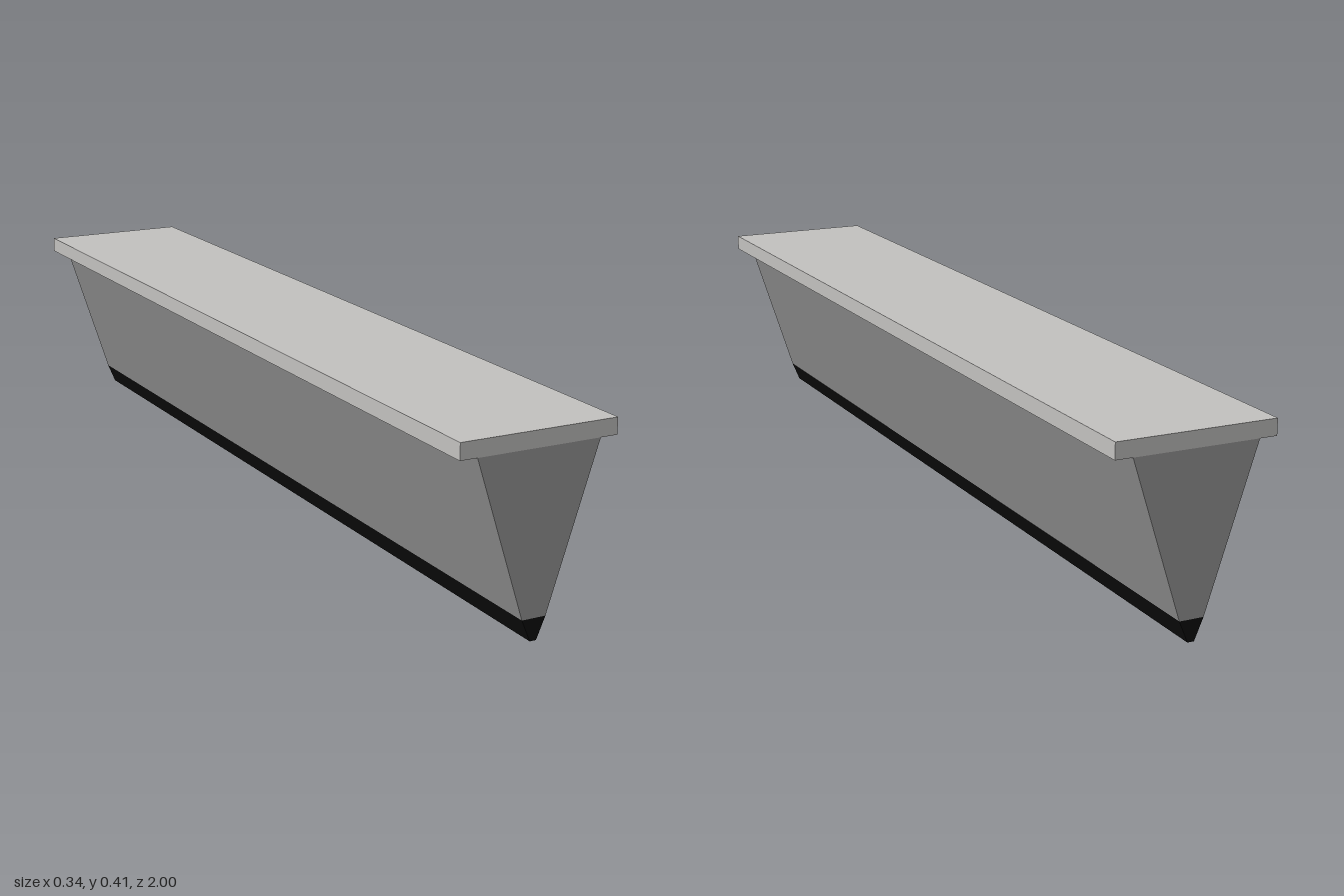
import * as THREE from 'three';

const LENGTH = 2;

function material(name, color) {
  const m = new THREE.MeshStandardMaterial({ color });
  m.name = name;
  return m;
}

// Symmetric trapezoid section, extruded along z
function taperedBar(name, bottomHalf, bottomY, topHalf, topY, mat) {
  const section = new THREE.Shape([
    new THREE.Vector2(-bottomHalf, bottomY),
    new THREE.Vector2(bottomHalf, bottomY),
    new THREE.Vector2(topHalf, topY),
    new THREE.Vector2(-topHalf, topY),
  ]);
  const geometry = new THREE.ExtrudeGeometry(section, { depth: LENGTH, bevelEnabled: false });
  geometry.translate(0, 0, -LENGTH / 2);
  const mesh = new THREE.Mesh(geometry, mat);
  mesh.name = name;
  return mesh;
}

export function createModel() {
  const group = new THREE.Group();
  group.name = 'taperedBeam';

  const lightGrey = material('light warm grey', 0xc2c1bf);
  const midGrey = material('mid grey', 0x979797);
  const black = material('black', 0x0d0d0d);

  // Narrow dark edge, wedge body and overhanging top plate
  group.add(taperedBar('bottomEdge', 0.007, 0, 0.026, 0.045, black));
  group.add(taperedBar('wedgeBody', 0.026, 0.045, 0.133, 0.375, midGrey));
  group.add(taperedBar('topPlate', 0.17, 0.375, 0.17, 0.409, lightGrey));

  return group;
}
